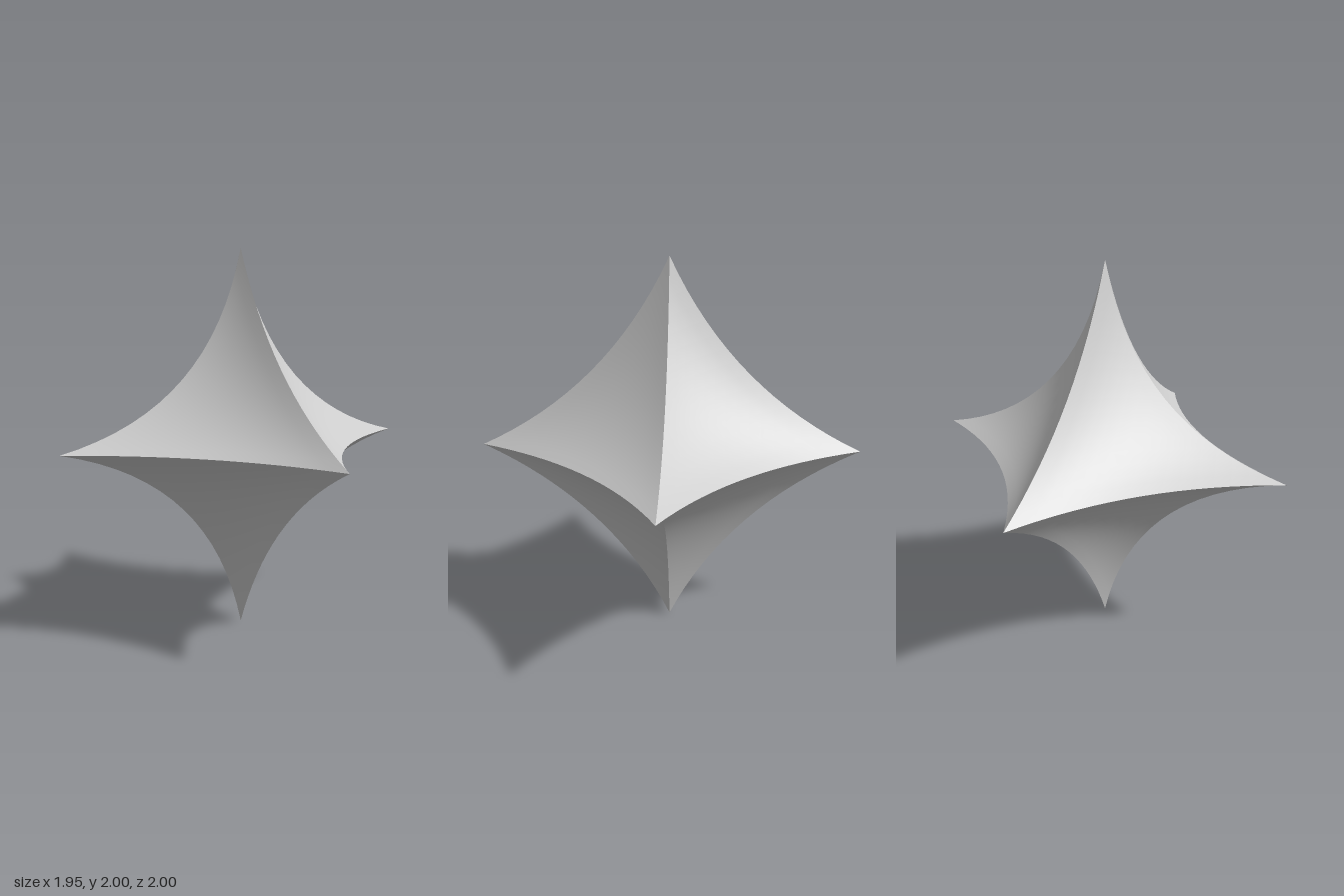
import * as THREE from 'three';

const STEPS = 16;
const TIP = new THREE.Vector3(0.975, 1, 1); // reach of the points along x, y, z
const XY = 0.18, YZ = 0.32, XZ = 0.32;      // pull of each ridge towards the centre

// Point on a curved triangle spanning the three tips of one octant (a + b + c = 1)
function facePoint(a, b, c) {
  return new THREE.Vector3(
    a * a + 2 * a * b * XY + 2 * a * c * XZ,
    b * b + 2 * a * b * XY + 2 * b * c * YZ,
    c * c + 2 * b * c * YZ + 2 * a * c * XZ
  ).multiply(TIP);
}

// One concave face, mirrored into the octant given by the signs
function faceGeometry(sx, sy, sz) {
  const positions = [], index = [];
  const flip = sx * sy * sz < 0;
  const tri = (p, q, r) => index.push(...(flip ? [p, r, q] : [p, q, r]));
  const at = (i, j) => (i * (i + 1)) / 2 + j;
  for (let i = 0; i <= STEPS; i++) {
    for (let j = 0; j <= i; j++) {
      const p = facePoint(1 - i / STEPS, (i - j) / STEPS, j / STEPS);
      positions.push(sx * p.x, sy * p.y, sz * p.z);
      if (i < STEPS) tri(at(i, j), at(i + 1, j), at(i + 1, j + 1));
      if (i < STEPS && j < i) tri(at(i, j), at(i + 1, j + 1), at(i, j + 1));
    }
  }
  const geometry = new THREE.BufferGeometry();
  geometry.setAttribute('position', new THREE.Float32BufferAttribute(positions, 3));
  geometry.setIndex(index);
  geometry.computeVertexNormals();
  return geometry;
}

export function createModel() {
  const group = new THREE.Group();
  group.name = 'sixPointedStar';
  const material = new THREE.MeshStandardMaterial({ color: 0xcccccc });

  // Eight separate faces keep the ridges between them sharp
  for (const sx of [1, -1]) for (const sy of [1, -1]) for (const sz of [1, -1]) {
    const face = new THREE.Mesh(faceGeometry(sx, sy, sz), material);
    face.name = (sy > 0 ? 'upper' : 'lower') + (sz > 0 ? 'Front' : 'Back') + (sx > 0 ? 'Left' : 'Right') + 'Face';
    face.position.y = 1;
    group.add(face);
  }
  return group;
}
